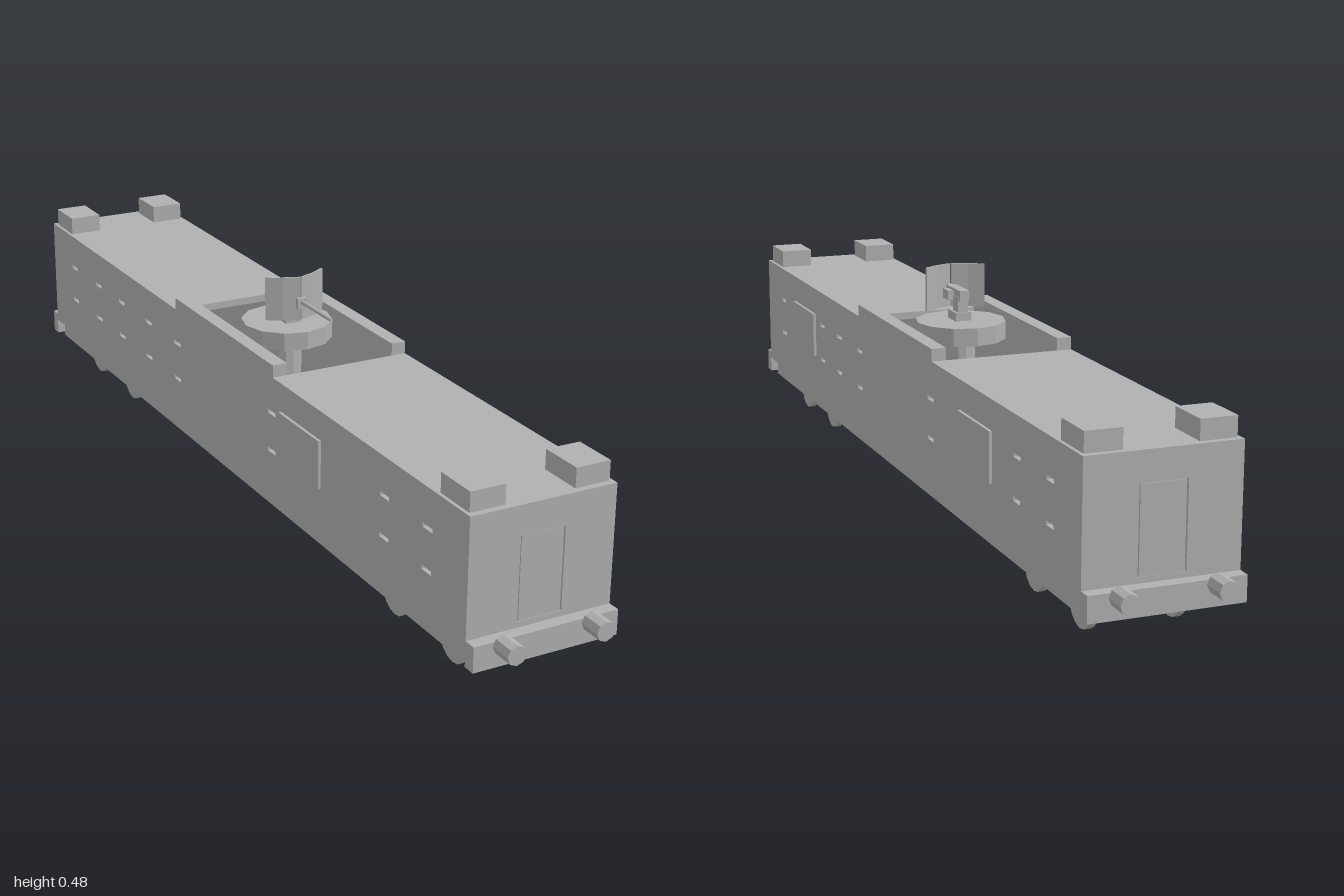
import * as THREE from 'three';

export function createModel() {
  const model = new THREE.Group();
  model.name = 'armouredGunWagon';
  const steel = new THREE.MeshStandardMaterial({ color: 0xb0b0b0, flatShading: true });
  steel.name = 'grey steel';

  const add = (name, geo, x = 0, y = 0, z = 0) => {
    const mesh = new THREE.Mesh(geo, steel);
    mesh.name = name;
    mesh.position.set(x, y, z);
    model.add(mesh);
    return mesh;
  };
  // box given by its minimum and maximum on each axis
  const box = (name, x0, x1, y0, y1, z0, z1) =>
    add(name, new THREE.BoxGeometry(x1 - x0, y1 - y0, z1 - z0), (x0 + x1) / 2, (y0 + y1) / 2, (z0 + z1) / 2);
  const rect = (Kind, x0, x1, y0, y1) => new Kind([
    new THREE.Vector2(x0, y0), new THREE.Vector2(x1, y0),
    new THREE.Vector2(x1, y1), new THREE.Vector2(x0, y1)]);
  const extrude = (shape, depth) => new THREE.ExtrudeGeometry(shape, { depth, bevelEnabled: false });

  const W = 0.147, L = 0.93, WALL = 0.03, FLOOR = 0.1, ROOF = 0.345, WELL = 0.225;
  const inner = W - WALL;

  // Side walls: raised parapet at the gun well, two rows of firing slits
  const sides = [
    { s: 1, slits: [0.8, 0.49, 0.365, 0.22, -0.22, -0.655, -0.8], doors: [0.62, -0.46] },
    { s: -1, slits: [0.8, 0.655, 0.22, -0.22, -0.37, -0.52, -0.655, -0.8], doors: [0.34] },
  ];
  for (const { s, slits, doors } of sides) {
    const outline = new THREE.Shape([
      [-L, FLOOR], [L, FLOOR], [L, ROOF], [WELL, ROOF], [WELL, 0.37],
      [-WELL, 0.37], [-WELL, ROOF], [-L, ROOF]].map(([a, b]) => new THREE.Vector2(a, b)));
    for (const z of slits) for (const y of [0.19, 0.27])
      outline.holes.push(rect(THREE.Path, z - 0.016, z + 0.016, y - 0.004, y + 0.004));
    const wall = extrude(outline, WALL);
    wall.rotateY(-Math.PI / 2);
    add('sideWall', wall, s > 0 ? W : -inner);
    for (const z of doors)
      add('sideDoor', new THREE.BoxGeometry(0.006, 0.098, 0.16), s * (W + 0.003), 0.238, z);
  }

  // Underframe, which is also the floor
  box('underframe', -0.13, 0.13, 0.058, FLOOR, -L, L);

  for (const s of [-1, 1]) {
    const span = (name, x0, x1, y0, y1, a, b) =>
      box(name, x0, x1, y0, y1, Math.min(s * a, s * b), Math.max(s * a, s * b));

    // Roof and end wall with its doorway
    span('roof', -inner, inner, 0.33, ROOF, WELL, L);
    const end = rect(THREE.Shape, -inner, inner, FLOOR, 0.33);
    end.holes.push(rect(THREE.Path, -0.045, 0.045, 0.127, 0.288));
    add('endWall', extrude(end, WALL), 0, 0, s > 0 ? L - WALL : -L);
    span('endDoor', -0.0425, 0.0425, 0.127, 0.287, L - 0.012, L - 0.001);

    // End beam and bumpers
    span('endBeam', -W, W, 0.067, 0.116, L, 0.955);
    for (const m of [-1, 1]) {
      const bumper = add('bumper', new THREE.CylinderGeometry(0.019, 0.019, 0.045, 8), m * 0.09, 0.108, s * 0.9775);
      bumper.rotation.x = Math.PI / 2;
      // Roof corner turret
      add('roofTurret', new THREE.BoxGeometry(0.07, 0.038, 0.09), m * 0.105, 0.364, s * 0.872);

      // Bogie side bar and wheels
      add('bogieBar', new THREE.BoxGeometry(0.03, 0.015, 0.3), m * 0.095, 0.0515, s * 0.705);
      for (const z of [0.605, 0.805]) {
        const wheel = add('wheel', new THREE.CylinderGeometry(0.045, 0.045, 0.014, 16), m * 0.084, 0.045, s * z);
        wheel.rotation.z = Math.PI / 2;
      }
    }
  }

  // Turntable on its column in the well
  add('turntableColumn', new THREE.CylinderGeometry(0.03, 0.03, 0.24, 12), 0, 0.22, 0);
  add('turntable', new THREE.CylinderGeometry(0.093, 0.093, 0.037, 12), 0, 0.353, 0);

  // Gun mount, breech, sight and barrel
  box('gunMount', -0.017, 0.017, 0.371, 0.389, -0.016, 0.03);
  box('gunColumn', -0.011, 0.011, 0.389, 0.42, -0.014, 0.016);
  box('breech', -0.01, 0.01, 0.413, 0.435, -0.022, 0.068);
  box('gunSight', 0.014, 0.026, 0.413, 0.432, 0.005, 0.033);
  box('sightBracket', 0.008, 0.016, 0.418, 0.426, 0.012, 0.024);
  const barrel = add('barrel', new THREE.CylinderGeometry(0.004, 0.004, 0.14, 8), 0, 0.427, 0.12);
  barrel.rotation.x = Math.PI / 2;

  // Gun shield: two bent halves with a narrow slot between
  for (const s of [-1, 1]) {
    const plan = [[0.0015, 0.062], [0.035, 0.05], [0.065, 0.032], [0.063, 0.028], [0.033, 0.046], [0.0015, 0.058]];
    const half = extrude(new THREE.Shape(plan.map(([x, z]) => new THREE.Vector2(s * x, -z))), 0.09);
    half.rotateX(-Math.PI / 2);
    add('gunShield', half, 0, 0.388, 0);
  }
  return model;
}
